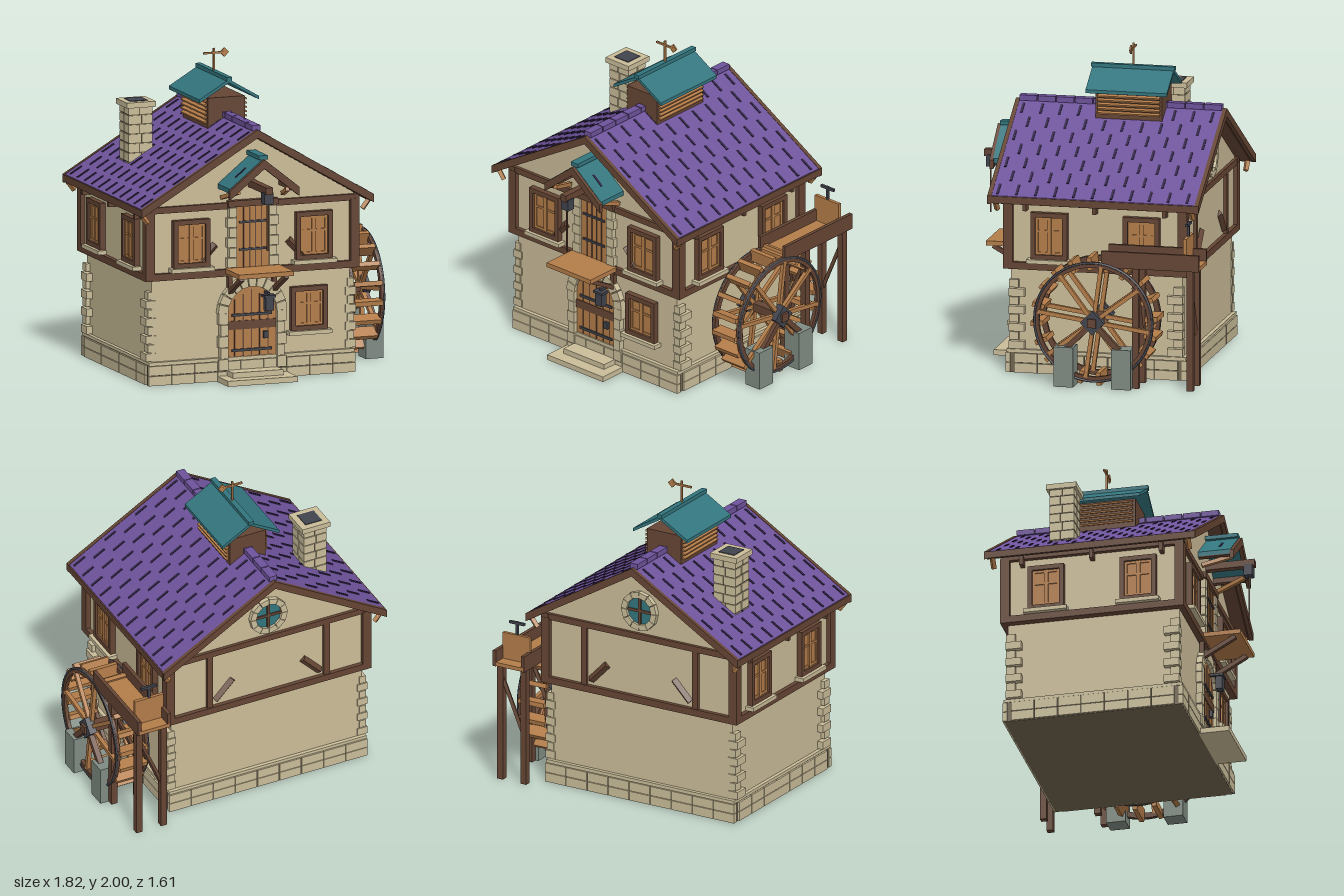
import * as THREE from 'three';

const mat = (name, color) => Object.assign(new THREE.MeshStandardMaterial({ color }), { name });
const M = {
  wall: mat('plaster', 0xcabc98), stone: mat('pale stone', 0xc9bc99), beam: mat('dark timber', 0x654534),
  wood: mat('warm wood', 0xb37c49), tile: mat('purple tile', 0x6e539b), joint: mat('tile joint', 0x33264a),
  teal: mat('teal roof', 0x33757e), iron: mat('iron', 0x41444d), pier: mat('grey pier', 0x7f8a82), mortar: mat('mortar', 0x70654f),
};

function add(parent, name, geo, m, x = 0, y = 0, z = 0) {
  const o = new THREE.Mesh(geo, m);
  o.name = name;
  o.position.set(x, y, z);
  parent.add(o);
  return o;
}
const box = (p, name, m, w, h, d, x, y, z) => add(p, name, new THREE.BoxGeometry(w, h, d), m, x, y, z);

// Square timber between two points
function strut(p, name, m, a, b, t) {
  const A = new THREE.Vector3(...a), dir = new THREE.Vector3(...b).sub(A), len = dir.length();
  const o = box(p, name, m, t, t, len, 0, 0, 0);
  o.position.copy(A).addScaledVector(dir, 0.5);
  o.quaternion.setFromUnitVectors(new THREE.Vector3(0, 0, 1), dir.normalize());
}
function extrude(p, name, m, pts, z0, z1) {
  const s = pts instanceof THREE.Shape ? pts : new THREE.Shape(pts.map(q => new THREE.Vector2(...q)));
  return add(p, name, new THREE.ExtrudeGeometry(s, { depth: z1 - z0, bevelEnabled: false, curveSegments: 16 }), m, 0, 0, z0);
}
// Pitched roof layer: half width, ridge height, slope, vertical thickness
const chevron = (p, name, m, w, y, s, t, z0, z1) =>
  extrude(p, name, m, [[0, y], [-w, y - s * w], [-w, y - s * w - t], [0, y - t], [w, y - s * w - t], [w, y - s * w]], z0, z1);

// Wedge-shaped stones around an arc
function arch(p, name, m, cx, cy, r0, r1, a0, a1, n, z0, z1) {
  for (let i = 0; i < n; i++) {
    const step = (a1 - a0) / n, s = a0 + step * i + 0.015, e = a0 + step * (i + 1) - 0.015;
    const at = (r, a) => [cx + r * Math.cos(a), cy + r * Math.sin(a)];
    extrude(p, name, m, [at(r0, s), at(r1, s), at(r1, e), at(r0, e)], z0, z1);
  }
}

// Framed casement with sill, facing +z
function addWindow(p, w, h, x, y, z, turn = 0) {
  const g = new THREE.Group();
  g.name = 'window';
  g.position.set(x, y, z);
  g.rotation.y = turn;
  p.add(g);
  box(g, 'pane', M.wood, w - 0.04, h - 0.04, 0.02, 0, 0, 0.005);
  for (const s of [-1, 1]) {
    box(g, 'frameSide', M.beam, 0.03, h, 0.045, s * (w / 2 - 0.015), 0, 0.015);
    box(g, 'frameRail', M.beam, w, 0.03, 0.045, 0, s * (h / 2 - 0.015), 0.015);
    box(g, 'sashSide', M.wood, 0.016, h - 0.06, 0.02, s * (w / 2 - 0.038), 0, 0.012);
    box(g, 'sashRail', M.wood, w - 0.06, 0.016, 0.02, 0, s * (h / 2 - 0.038), 0.012);
  }
  box(g, 'mullion', M.wood, 0.026, h - 0.06, 0.024, 0, 0, 0.014);
  box(g, 'glazingBar', M.wood, w - 0.06, 0.014, 0.02, 0, 0.03, 0.012);
  box(g, 'sill', M.stone, w + 0.045, 0.026, 0.08, 0, -h / 2 - 0.012, 0.02);
}

function buildWalls(h) {
  box(h, 'plinthCore', M.mortar, 1.375, 0.13, 1.145, 0, 0.065, 0);
  box(h, 'plinthCap', M.stone, 1.385, 0.02, 1.155, 0, 0.14, 0);
  for (let r = 0; r < 2; r++) for (const s of [-1, 1]) {
    for (let i = 0; i < 9; i++) box(h, 'plinthStone', M.stone, 0.15, 0.06, 0.03, (i - 4) * 0.155, 0.032 + r * 0.064, s * 0.568);
    for (let i = 0; i < 7; i++) box(h, 'plinthStone', M.stone, 0.03, 0.06, 0.146, s * 0.685, 0.032 + r * 0.064, (i - 3) * 0.151);
  }
  box(h, 'lowerWall', M.wall, 1.336, 0.56, 1.106, 0, 0.42, 0);
  extrude(h, 'upperWall', M.wall, [[-0.69, 0.69], [0.69, 0.69], [0.69, 1.15], [0, 1.555], [-0.69, 1.15]], -0.565, 0.565);
  // Corner stones, alternating long and short
  for (const sx of [-1, 1]) for (const sz of [-1, 1]) for (let i = 0; i < 8; i++) {
    const d = i % 2 ? 0.06 : 0.1;
    box(h, 'cornerStone', M.stone, i % 2 ? 0.045 : 0.07, 0.05, d, sx * 0.672, 0.18 + i * 0.056, sz * (0.56 - d / 2));
  }
  // Timber frame
  for (const s of [-1, 1]) {
    box(h, 'floorBeam', M.beam, 1.44, 0.045, 0.05, 0, 0.692, s * 0.567);
    box(h, 'tieBeam', M.beam, 1.44, 0.04, 0.04, 0, 1.117, s * 0.566);
    box(h, 'sideFloorBeam', M.beam, 0.05, 0.045, 1.18, s * 0.695, 0.692, 0);
    box(h, 'wallPlate', M.beam, 0.05, 0.04, 1.18, s * 0.695, 1.117, 0);
    for (const t of [-1, 1]) {
      box(h, 'cornerPost', M.beam, 0.06, 0.43, 0.06, s * 0.69, 0.895, t * 0.562);
      strut(h, 'brace', M.beam, [s * 0.365, 0.75, t * 0.568], [s * 0.245, 0.875, t * 0.568], 0.035);
      addWindow(h, 0.235, 0.3, s * 0.69, 0.89, t * 0.297, s * Math.PI / 2);
    }
    box(h, 'backPost', M.beam, 0.04, 0.4, 0.04, s * 0.41, 0.9, -0.566);
    addWindow(h, 0.245, 0.305, s * 0.413, 0.895, 0.565);
    for (const z of [-0.45, 0, 0.45]) box(h, 'rafterTail', M.beam, 0.06, 0.06, 0.025, s * 0.715, 1.08, z);
  }
  addWindow(h, 0.245, 0.28, 0.385, 0.43, 0.553);
  // Round gable window at the back
  const disc = add(h, 'roundPane', new THREE.CylinderGeometry(0.095, 0.095, 0.02, 24), M.teal, 0, 1.29, -0.567);
  disc.rotation.x = Math.PI / 2;
  arch(h, 'roundWindowStone', M.stone, 0, 1.29, 0.09, 0.13, 0, Math.PI * 2, 12, -0.595, -0.56);
  box(h, 'roundWindowBar', M.beam, 0.018, 0.18, 0.02, 0, 1.29, -0.575);
  box(h, 'roundWindowBar', M.beam, 0.18, 0.018, 0.02, 0, 1.29, -0.575);
}

function buildRoof(h) {
  const s = 0.59, top = 1.605;
  chevron(h, 'roofTiles', M.tile, 0.775, top, s, 0.03, -0.655, 0.655);
  chevron(h, 'roofDeck', M.beam, 0.772, top - 0.028, s, 0.025, -0.65, 0.65);
  for (const t of [-1, 1]) {
    chevron(h, 'bargeboard', M.beam, 0.782, top + 0.003, s, 0.053, t * 0.667 - 0.013, t * 0.667 + 0.013);
    box(h, 'eavesBoard', M.beam, 0.02, 0.045, 1.33, t * 0.773, 1.122, 0);
    for (const f of [-1, 1]) strut(h, 'eavesBracket', M.wood, [t * 0.767, 1.108, f * 0.63], [t * 0.722, 1.05, f * 0.63], 0.026);
    // Staggered tile joints running down the slope
    for (let c = 0; c < 7; c++) for (let i = 0; i < 11; i++) {
      const z = -0.6 + i * 0.122 - (c % 2) * 0.061, d = 0.075 + c * 0.108;
      if (z < -0.64) continue;
      const o = box(h, 'tileJoint', M.joint, 0.09, 0.009, 0.015, t * d, top - s * d + 0.001, z);
      o.rotation.z = -t * Math.atan(s);
    }
  }
  for (let i = 0; i < 11; i++) box(h, 'ridgeTile', M.tile, 0.055, 0.035, 0.112, 0, 1.615, (i - 5) * 0.119);

  // Chimney
  const x = -0.462, z = -0.237;
  box(h, 'chimneyCore', M.mortar, 0.148, 0.45, 0.148, x, 1.43, z);
  for (let r = 0; r < 7; r++) for (const a of [-1, 1]) for (const b of [-1, 1]) {
    const w = (a * b > 0) === (r % 2 > 0) ? 0.07 : 0.083;
    box(h, 'chimneyStone', M.stone, w, 0.053, w, x + a * (0.08 - w / 2), 1.262 + r * 0.06, z + b * (0.08 - w / 2));
  }
  box(h, 'chimneyCap', M.stone, 0.195, 0.035, 0.195, x, 1.657, z);
  box(h, 'flueOpening', M.iron, 0.115, 0.008, 0.115, x, 1.675, z);

  // Louvred cupola
  const c = new THREE.Group();
  c.name = 'cupola';
  c.position.z = -0.077;
  h.add(c);
  box(c, 'cupolaBody', M.beam, 0.25, 0.2, 0.43, 0, 1.625, 0);
  for (const t of [-1, 1]) for (let i = 0; i < 6; i++) {
    const o = box(c, 'louvre', M.wood, 0.035, 0.012, 0.4, t * 0.128, 1.572 + i * 0.027, 0);
    o.rotation.z = -t * 0.35;
  }
  chevron(c, 'cupolaRoof', M.teal, 0.2, 1.845, 0.59, 0.022, -0.262, 0.262);
  box(c, 'cupolaRidge', M.teal, 0.035, 0.025, 0.54, 0, 1.847, 0);
  // Weathervane
  box(c, 'vanePole', M.wood, 0.012, 0.16, 0.012, 0, 1.92, 0);
  box(c, 'vaneArm', M.wood, 0.14, 0.012, 0.012, 0, 1.97, 0);
  box(c, 'vaneHead', M.wood, 0.042, 0.042, 0.01, 0.07, 1.97, 0).rotation.z = Math.PI / 4;
}

function buildEntrance(h) {
  // Arched door
  const s = new THREE.Shape().moveTo(-0.17, 0.05).lineTo(0.17, 0.05).lineTo(0.17, 0.43);
  s.absarc(0, 0.43, 0.17, 0, Math.PI, false);
  extrude(h, 'door', M.wood, s, 0.54, 0.568);
  for (let i = -2; i <= 2; i++) box(h, 'plankGap', M.beam, 0.007, 0.5 - Math.abs(i) * 0.03, 0.006, i * 0.056, 0.325 - Math.abs(i) * 0.015, 0.568);
  for (const y of [0.19, 0.415]) box(h, 'hinge', M.iron, 0.27, 0.016, 0.012, 0, y, 0.572);
  box(h, 'doorBand', M.beam, 0.33, 0.055, 0.008, 0, 0.35, 0.57);
  box(h, 'doorHandle', M.iron, 0.03, 0.045, 0.025, 0.092, 0.28, 0.575);
  arch(h, 'archStone', M.stone, 0, 0.43, 0.165, 0.232, 0, Math.PI, 11, 0.54, 0.592);
  for (const t of [-1, 1]) for (let i = 0; i < 5; i++)
    box(h, 'doorJamb', M.stone, i % 2 ? 0.05 : 0.062, 0.07, 0.05, t * (i % 2 ? 0.19 : 0.196), 0.105 + i * 0.073, 0.567);
  box(h, 'lowerStep', M.stone, 0.47, 0.035, 0.22, 0, 0.0175, 0.658);
  box(h, 'upperStep', M.stone, 0.34, 0.035, 0.14, 0, 0.052, 0.615);
  // Lantern
  box(h, 'lantern', M.iron, 0.055, 0.085, 0.045, 0.092, 0.485, 0.63);
  box(h, 'lanternCap', M.iron, 0.078, 0.016, 0.06, 0.092, 0.535, 0.63);
  box(h, 'lanternArm', M.iron, 0.016, 0.016, 0.07, 0.092, 0.55, 0.6);

  // Loading platform
  box(h, 'platform', M.wood, 0.37, 0.03, 0.25, 0, 0.705, 0.705);
  for (const t of [-1, 1]) {
    strut(h, 'platformBracket', M.beam, [t * 0.15, 0.685, 0.79], [t * 0.15, 0.57, 0.585], 0.028);
    box(h, 'bracketPost', M.beam, 0.028, 0.11, 0.03, t * 0.15, 0.63, 0.575);
    for (let i = 0; i < 6; i++) box(h, 'loftJamb', M.stone, i % 2 ? 0.05 : 0.062, 0.06, 0.05, t * (i % 2 ? 0.135 : 0.141), 0.755 + i * 0.064, 0.575);
    for (let i = 0; i < 2; i++) box(h, 'plankGap', M.beam, 0.007, 0.39, 0.006, t * (0.02 + i * 0.04), 0.91, 0.588);
  }
  // Loft door
  box(h, 'loftDoor', M.wood, 0.22, 0.4, 0.04, 0, 0.915, 0.567);
  for (const y of [0.835, 1.01]) box(h, 'loftHinge', M.iron, 0.18, 0.014, 0.01, 0, y, 0.591);
  box(h, 'loftLintel', M.beam, 0.335, 0.04, 0.06, 0, 1.13, 0.575);
  // Hoist hood
  chevron(h, 'hoodRoof', M.teal, 0.225, 1.44, 0.8, 0.03, 0.565, 0.775);
  box(h, 'hoodRidge', M.teal, 0.06, 0.026, 0.21, 0, 1.447, 0.67);
  chevron(h, 'hoodBargeboard', M.beam, 0.233, 1.437, 0.8, 0.058, 0.77, 0.797);
  for (const t of [-1, 1]) {
    box(h, 'hoodJoint', M.joint, 0.09, 0.006, 0.014, t * 0.12, 1.345, 0.69).rotation.z = -t * Math.atan(0.8);
    strut(h, 'hoodBracket', M.wood, [t * 0.205, 1.175, 0.585], [t * 0.165, 1.235, 0.77], 0.025);
    box(h, 'hoodRail', M.beam, 0.035, 0.035, 0.22, t * 0.2, 1.245, 0.675);
  }
  // Hoist beam, block and rope
  box(h, 'hoistBeam', M.beam, 0.045, 0.045, 0.34, 0, 1.25, 0.71);
  box(h, 'hoistBlock', M.iron, 0.06, 0.075, 0.055, 0, 1.2, 0.84);
  box(h, 'hoistRope', M.beam, 0.009, 0.3, 0.009, 0, 1.015, 0.843);
}

function buildWheel(root) {
  const g = new THREE.Group();
  g.name = 'waterWheel';
  g.position.set(0.75, 0.415, -0.13);
  root.add(g);
  const ring = new THREE.Shape().absarc(0, 0, 0.385, 0, Math.PI * 2);
  ring.holes.push(new THREE.Path().absarc(0, 0, 0.35, 0, Math.PI * 2, true));
  const rim = new THREE.ExtrudeGeometry(ring, { depth: 0.024, bevelEnabled: false, curveSegments: 32 });
  rim.translate(0, 0, -0.012).rotateY(Math.PI / 2);
  for (const x of [-0.1, 0.1]) {
    add(g, 'rim', rim, M.beam, x);
    add(g, 'ironHoop', new THREE.TorusGeometry(0.38, 0.008, 6, 48).rotateY(Math.PI / 2), M.iron, x * 1.1);
    for (let i = 0; i < 8; i++) {
      const a = (i * 45 - 8) * Math.PI / 180;
      strut(g, 'spoke', M.wood, [x, 0.03 * Math.sin(a), -0.03 * Math.cos(a)], [x, 0.36 * Math.sin(a), -0.36 * Math.cos(a)], 0.026);
    }
    box(g, 'hub', M.iron, 0.05, 0.11, 0.11, x * 1.2, 0, 0).rotation.x = Math.PI / 4;
  }
  for (let i = 0; i < 20; i++) {
    const a = i * Math.PI / 10 + 0.08;
    box(g, 'paddle', M.wood, 0.19, 0.08, 0.03, 0, 0.369 * Math.cos(a), 0.369 * Math.sin(a)).rotation.x = a;
  }
  box(g, 'axle', M.beam, 0.36, 0.055, 0.055, -0.02, 0, 0);
  box(g, 'axleEnd', M.beam, 0.05, 0.055, 0.055, 0.135, 0, 0);
  box(g, 'axlePlate', M.iron, 0.03, 0.1, 0.1, -0.175, 0, 0).rotation.x = Math.PI / 4;
  // Piers carrying the axle
  for (const t of [-1, 1]) {
    box(root, 'pier', M.pier, 0.12, 0.255, 0.125, 0.85, 0.1275, -0.133 + t * 0.185);
    strut(root, 'axleBrace', M.beam, [0.87, 0.2, -0.13 + t * 0.21], [0.87, 0.385, -0.13 + t * 0.03], 0.035);
  }
}

function buildFlume(root) {
  box(root, 'flumeFloor', M.wood, 0.21, 0.025, 0.63, 0.745, 0.785, -0.495);
  for (const x of [0.643, 0.85]) box(root, 'flumeSide', M.beam, 0.024, 0.105, 0.63, x, 0.822, -0.495);
  for (const x of [0.66, 0.832]) {
    for (const z of [-0.4, -0.75]) box(root, 'flumeLeg', M.beam, 0.042, 0.775, 0.042, x, 0.3875, z);
  }
  for (const z of [-0.4, -0.75]) strut(root, 'legBrace', M.beam, [0.66, 0.3, z], [0.832, 0.7, z], 0.022);
  // Sluice gate with lifting handle
  box(root, 'sluiceGate', M.wood, 0.2, 0.185, 0.022, 0.74, 0.88, -0.715);
  box(root, 'gateStem', M.iron, 0.016, 0.1, 0.016, 0.74, 1.01, -0.715);
  box(root, 'gateHandle', M.iron, 0.11, 0.016, 0.018, 0.74, 1.05, -0.715);
}

export function createModel() {
  const root = new THREE.Group();
  root.name = 'watermill';
  const house = new THREE.Group();
  house.name = 'house';
  house.position.set(-0.128, 0, -0.078);
  root.add(house);
  buildWalls(house);
  buildRoof(house);
  buildEntrance(house);
  buildWheel(root);
  buildFlume(root);
  return root;
}
